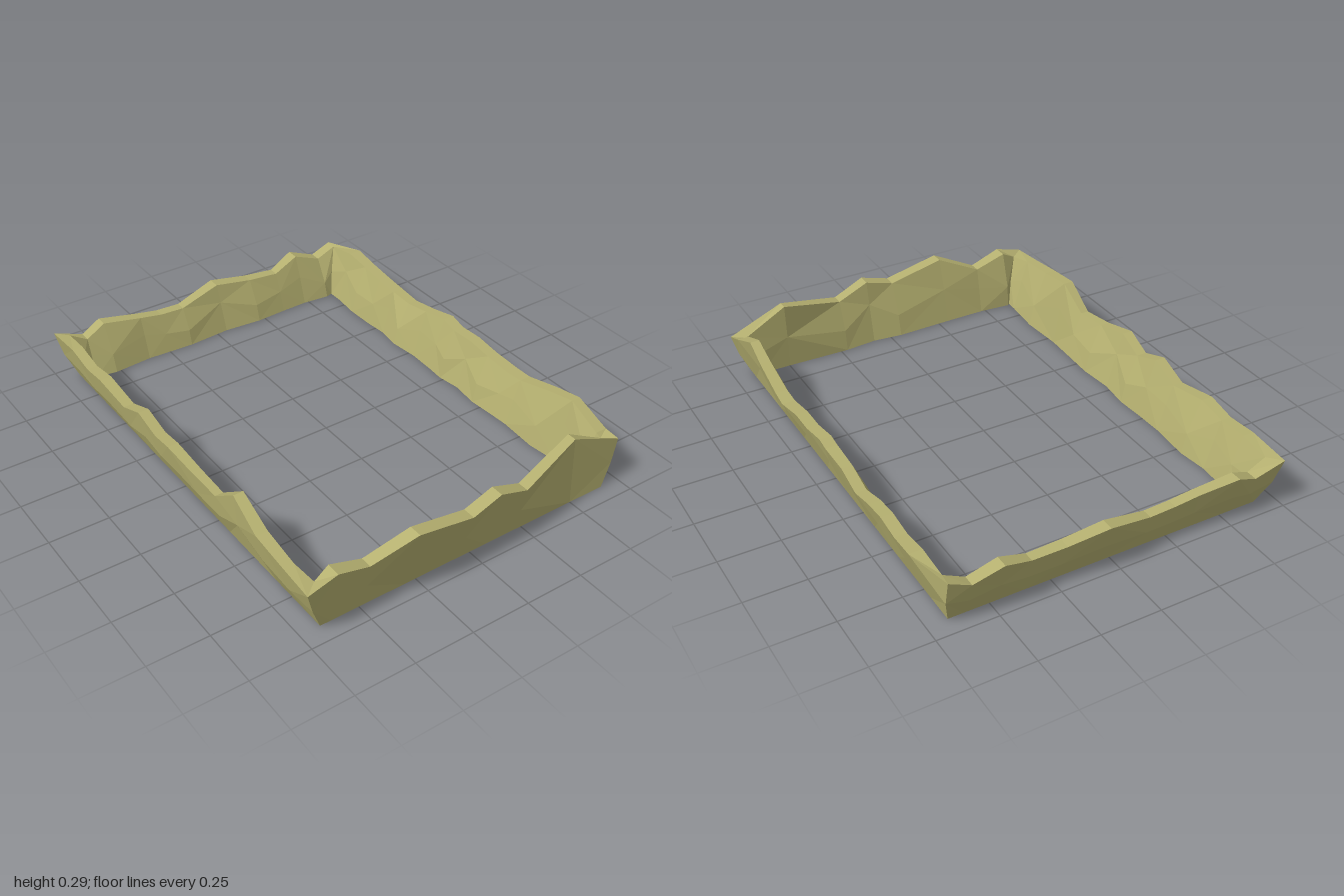
import * as THREE from 'three';

// Stations along each wall: [position along wall, outer top, inner top, height]
const FRONT = [
  [-0.745, 0.97, 0.92, 0.215], [-0.62, 0.97, 0.91, 0.25], [-0.48, 0.96, 0.91, 0.205],
  [-0.3, 1.0, 0.945, 0.285], [-0.05, 0.99, 0.935, 0.235], [0.08, 0.985, 0.93, 0.275],
  [0.22, 0.97, 0.92, 0.22], [0.5, 0.912, 0.872, 0.295], [0.74, 0.91, 0.87, 0.195],
];
const RIGHT = [
  [0.85, 0.73, 0.68, 0.21], [0.7, 0.725, 0.685, 0.272], [0.57, 0.735, 0.69, 0.24],
  [0.4, 0.74, 0.69, 0.195], [0.32, 0.745, 0.69, 0.19], [0.2, 0.735, 0.685, 0.205],
  [0.08, 0.74, 0.69, 0.215], [-0.02, 0.73, 0.68, 0.22], [-0.1, 0.74, 0.69, 0.23],
  [-0.22, 0.73, 0.685, 0.21], [-0.35, 0.735, 0.69, 0.185], [-0.45, 0.73, 0.68, 0.2],
  [-0.55, 0.73, 0.68, 0.21], [-0.68, 0.74, 0.69, 0.215], [-0.8, 0.745, 0.69, 0.23],
];
const BACK = [
  [0.69, 0.98, 0.93, 0.21], [0.6, 0.985, 0.935, 0.17], [0.48, 1.0, 0.945, 0.215],
  [0.36, 0.975, 0.93, 0.17], [0.22, 0.985, 0.935, 0.18], [0.05, 1.0, 0.945, 0.205],
  [-0.14, 0.97, 0.925, 0.16], [-0.25, 0.97, 0.925, 0.165], [-0.35, 0.975, 0.93, 0.18],
  [-0.52, 0.995, 0.945, 0.205], [-0.61, 0.98, 0.93, 0.165], [-0.735, 0.99, 0.935, 0.21],
];
const LEFT = [
  [-0.8, 0.735, 0.69, 0.225], [-0.66, 0.74, 0.695, 0.21], [-0.53, 0.745, 0.695, 0.23],
  [-0.35, 0.735, 0.69, 0.2], [-0.22, 0.735, 0.69, 0.25], [-0.1, 0.73, 0.685, 0.21],
  [0.03, 0.745, 0.7, 0.245], [0.18, 0.73, 0.69, 0.215], [0.33, 0.72, 0.685, 0.2],
  [0.46, 0.718, 0.675, 0.29], [0.65, 0.745, 0.695, 0.25], [0.82, 0.745, 0.7, 0.23],
];

// alongZ walls lie on x = side * offset, the others on z = side * offset
const WALLS = [
  { name: 'frontWall', rows: FRONT, alongZ: false, side: 1, base: 0.925, inner: 0.875, bulge: 0 },
  { name: 'rightWall', rows: RIGHT, alongZ: true, side: 1, base: 0.665, inner: 0.63, bulge: 0 },
  { name: 'backWall', rows: BACK, alongZ: false, side: -1, base: 0.925, inner: 0.875, bulge: 0.008 },
  { name: 'leftWall', rows: LEFT, alongZ: true, side: -1, base: 0.665, inner: 0.63, bulge: 0.015 },
];

const clamp = THREE.MathUtils.clamp;

// Closed cross-section: outer base, outer middle, outer top, inner top, inner middle, inner base
function section(wall, [t, outer, innerTop, h], i) {
  const put = (along, offset, y) => wall.alongZ
    ? new THREE.Vector3(wall.side * offset, y, along)
    : new THREE.Vector3(along, y, wall.side * offset);
  const limit = (m) => (wall.alongZ ? t : clamp(t, -m, m));
  const corner = !wall.alongZ && Math.abs(t) > 0.65;
  const rough = corner ? 0 : Math.sin(i * 2.4 + wall.base * 9);
  return [
    put(limit(0.665), wall.base, 0),
    put(limit(0.71), (wall.base + outer) / 2 + wall.bulge, h * 0.5),
    put(t, outer, h),
    put(limit(0.685), innerTop, h),
    put(limit(0.65), (wall.inner + innerTop) / 2 - 0.01 + 0.018 * rough, h * (0.5 + 0.12 * rough)),
    put(limit(0.63), wall.inner - 0.008 + 0.008 * rough, 0),
  ];
}

// Skin between consecutive cross-sections, alternating the diagonals for a faceted rock look
function skin(sections) {
  const pos = [];
  const tri = (...pts) => pts.forEach((p) => pos.push(p.x, p.y, p.z));
  for (let i = 0; i < sections.length - 1; i++) {
    const s = sections[i], n = sections[i + 1];
    for (let k = 0; k < s.length; k++) {
      const m = (k + 1) % s.length;
      if ((i + k) % 2) { tri(s[k], n[k], n[m]); tri(s[k], n[m], s[m]); }
      else { tri(s[k], n[k], s[m]); tri(n[k], n[m], s[m]); }
    }
  }
  const geo = new THREE.BufferGeometry();
  geo.setAttribute('position', new THREE.Float32BufferAttribute(pos, 3));
  geo.computeVertexNormals();
  return geo;
}

export function createModel() {
  const group = new THREE.Group();
  group.name = 'rockEnclosure';
  const rock = new THREE.MeshStandardMaterial({ color: 0xb5b070, flatShading: true });
  const rings = WALLS.map((w) => w.rows.map((row, i) => section(w, row, i)));

  WALLS.forEach((w, i) => {
    // Side walls borrow the corner sections of the front and back walls
    const prev = rings[(i + 3) % 4], next = rings[(i + 1) % 4];
    const sections = w.alongZ ? [prev[prev.length - 1], ...rings[i], next[0]] : rings[i];
    const mesh = new THREE.Mesh(skin(sections), rock);
    mesh.name = w.name;
    group.add(mesh);
  });
  return group;
}
